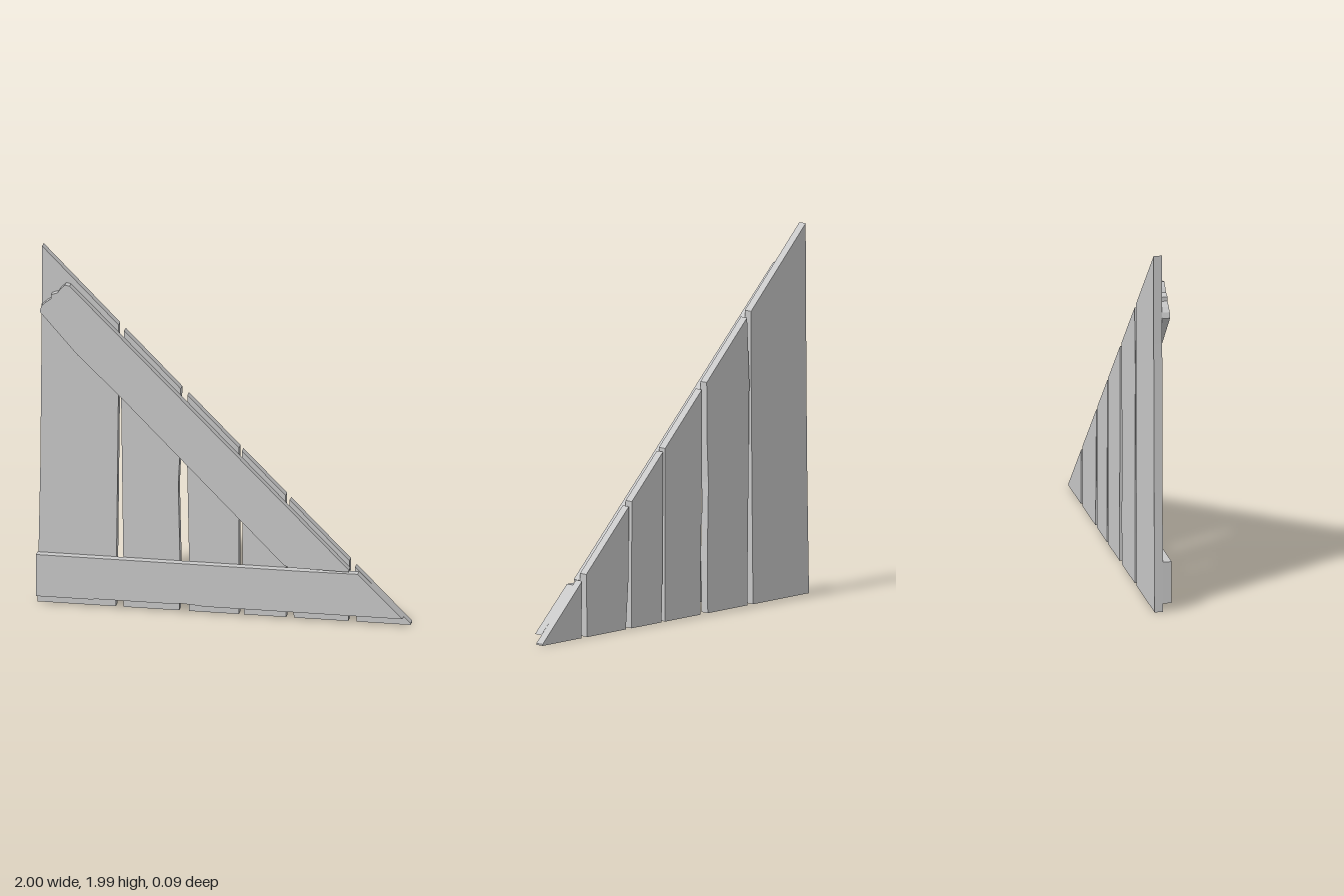
import * as THREE from 'three';

const wood = new THREE.MeshStandardMaterial({ color: 0xc8c8c8 });
wood.name = 'pale grey wood';

// Flat board cut from an outline, spanning z0 to z1
function board(name, outline, z0, z1) {
  const shape = new THREE.Shape(outline.map(([x, y]) => new THREE.Vector2(x, y)));
  const geometry = new THREE.ExtrudeGeometry(shape, { depth: z1 - z0, bevelEnabled: false });
  geometry.translate(0, 0, z0);
  const mesh = new THREE.Mesh(geometry, wood);
  mesh.name = name;
  return mesh;
}

export function createModel() {
  const group = new THREE.Group();
  group.name = 'triangularPlankPanel';

  // Upright planks with slightly wavy sides, cut along the slope
  const planks = [
    [[-1, 0], [-0.58, 0], [-0.576, 0.28], [-0.566, 1.2], [-0.565, 1.575], [-0.975, 1.99], [-0.978, 1.5], [-0.985, 0.75]],
    [[-0.54, 0], [-0.24, 0], [-0.236, 0.28], [-0.245, 0.7], [-0.236, 0.9], [-0.232, 1.24], [-0.535, 1.545], [-0.552, 1.2], [-0.54, 0.28]],
    [[-0.187, 0], [0.08, 0], [0.08, 0.93], [-0.196, 1.207], [-0.198, 0.85], [-0.187, 0.28]],
    [[0.107, 0], [0.333, 0], [0.33, 0.68], [0.096, 0.914], [0.1, 0.28]],
    [[0.375, 0], [0.666, 0], [0.672, 0.337], [0.352, 0.657], [0.355, 0.28]],
    [[0.71, 0], [1, 0], [1, 0.008], [0.703, 0.306]],
  ];
  planks.forEach((outline, i) => group.add(board(`plank${i + 1}`, outline, -0.046, 0)));

  // Horizontal batten across the foot
  group.add(board('bottomBatten', [
    [-1, 0.046], [-0.7, 0.046], [-0.68, 0.05], [-0.28, 0.05], [-0.23, 0.056], [-0.14, 0.05], [-0.1, 0.046],
    [0.964, 0.046], [0.724, 0.281], [0.43, 0.278], [-1, 0.278],
  ], 0, 0.046));

  // Sloping batten with a splintered upper end
  group.add(board('diagonalBatten', [
    [-0.98, 1.637], [-0.78, 1.41], [-0.56, 1.2], [0.33, 0.303], [0.355, 0.293], [0.675, 0.288], [0.677, 0.3],
    [-0.82, 1.79], [-0.845, 1.794], [-0.87, 1.77], [-0.885, 1.748], [-0.92, 1.735], [-0.92, 1.712],
    [-0.95, 1.69], [-0.972, 1.668],
  ], 0, 0.042));

  return group;
}
